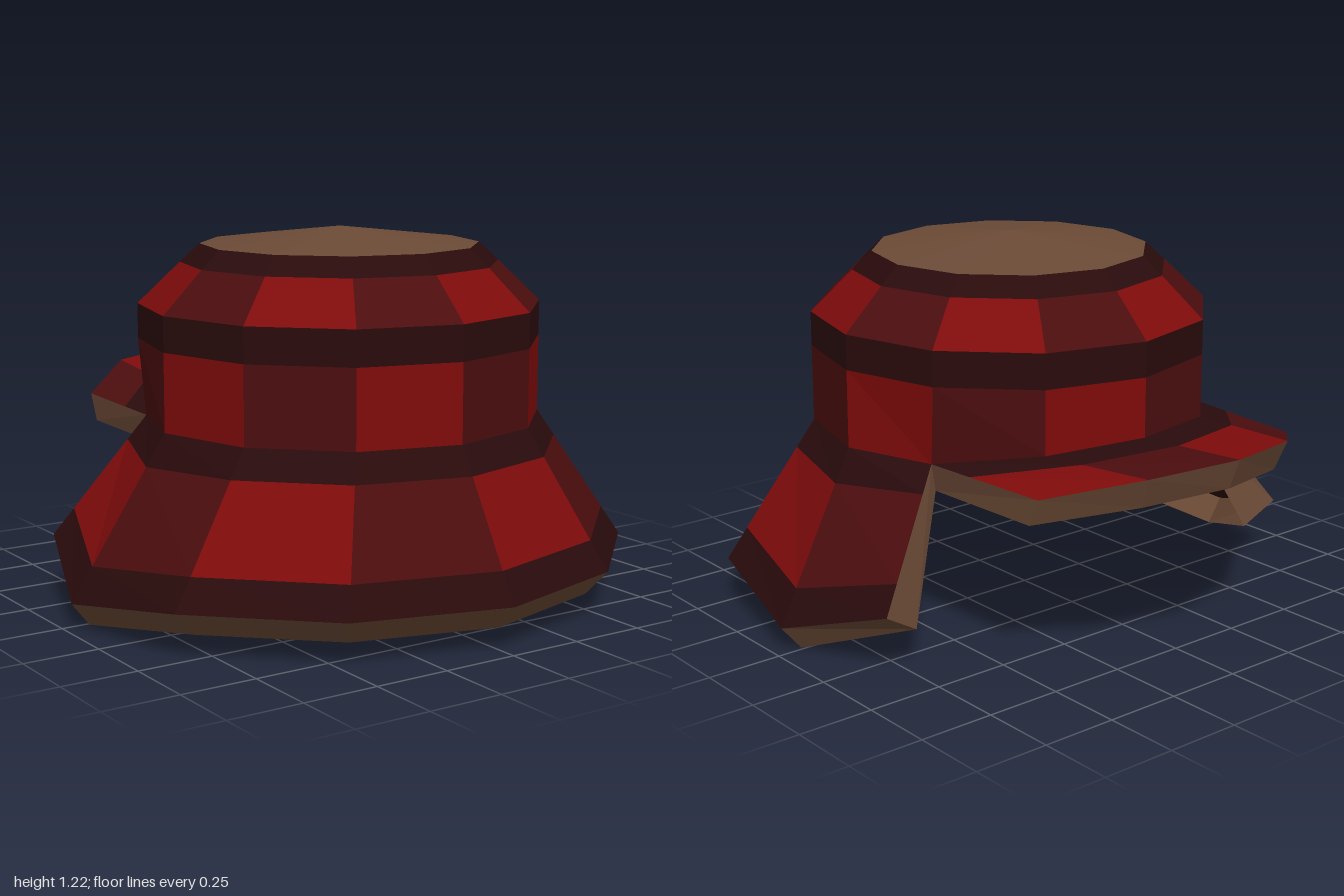
import * as THREE from 'three';

const material = (name, color) => {
  const m = new THREE.MeshStandardMaterial({ color });
  m.name = name;
  m.side = THREE.DoubleSide;
  m.flatShading = true;
  return m;
};

const SIDES = 12;
const CENTRE_Z = 0.075;

// Full ring of twelve corners from a rule for the half m = 0 (front) .. 6 (back)
const ring = (half) => Array.from({ length: SIDES }, (_, i) => {
  const [x, y, z] = half(Math.min(i, SIDES - i));
  return new THREE.Vector3(i <= 6 ? x : -x, y, z);
});
const onCircle = (m, r, y) => {
  const a = (m * Math.PI) / 6;
  return [r * Math.sin(a), y, CENTRE_Z + r * Math.cos(a)];
};
const round = (r, y) => ring((m) => onCircle(m, r, y));
const blend = (a, b, t) => a.map((p, i) => p.clone().lerp(b[i], t));

export function createModel() {
  const hat = new THREE.Group();
  hat.name = 'hat';
  const red = material('red', 0x7f0b0b);
  const maroon = material('maroon', 0x4c0d0e);
  const band = material('dark band', 0x2a0b0c);
  const brown = material('brown trim', 0x6b4a36);

  // Mesh from four-cornered faces, one geometry group per face
  function faces(name, list) {
    const mats = [...new Set(list.map((f) => f.mat))];
    const points = [];
    const geometry = new THREE.BufferGeometry();
    for (const { mat, quad: [a, b, c, d] } of list) {
      geometry.addGroup(points.length, 6, mats.indexOf(mat));
      points.push(a, b, c, a, c, d);
    }
    geometry.setFromPoints(points);
    geometry.computeVertexNormals();
    const mesh = new THREE.Mesh(geometry, mats);
    mesh.name = name;
    hat.add(mesh);
  }

  // Band of faces between two rings, following the surface from a to b
  function strip(name, a, b, paint, from = 0, to = SIDES) {
    const list = [];
    for (let k = from; k < to; k++) {
      const i = (k + SIDES) % SIDES, j = (i + 1) % SIDES;
      list.push({ mat: paint(i), quad: [a[i], b[i], b[j], a[j]] });
    }
    faces(name, list);
  }
  const evenRed = (i) => (i % 2 ? maroon : red);
  const oddRed = (i) => (i % 2 ? red : maroon);
  const dark = () => band;
  const trim = () => brown;

  // Crown: thin cloth shell; its seam is pinched where brim and flap part
  const seamY = [0.6, 0.6, 0.6, 0.6, 0.6, 0.645, 0.66];
  const seam = ring((m) => (m === 4 ? [0.565, 0.6, -0.23] : onCircle(m, 0.665, seamY[m])));
  const crown = [round(0, 1.22), round(0.46, 1.165), round(0.525, 1.105),
    round(0.665, 0.97), round(0.665, 0.855), seam];
  const crownPaint = [trim, dark, evenRed, dark, oddRed];
  ['crownTop', 'topBand', 'upperChecks', 'middleBand', 'lowerChecks']
    .forEach((n, k) => strip(n, crown[k], crown[k + 1], crownPaint[k]));

  // Front brim with its trim folded inward
  const brimOut = [[0, 0.15, 1], [0.5, 0.15, 0.86], [0.875, 0.15, 0.5],
    [0.975, 0.08, 0.02], [0.845, 0.205, -0.37]];
  const brimIn = [[0, 0.07, 0.93], [0.46, 0.07, 0.8], [0.8, 0.07, 0.48],
    [0.91, 0, 0.01], [0.72, 0.13, -0.35]];
  const brimEdge = ring((m) => brimOut[Math.min(m, 4)]);
  const brimInner = ring((m) => brimIn[Math.min(m, 4)]);
  const brimPaint = [dark, evenRed, dark];
  const stops = [0, 0.2, 0.78, 1];
  ['brimTopBand', 'brimChecks', 'brimEdgeBand'].forEach((n, k) => strip(n,
    blend(seam, brimEdge, stops[k]), blend(seam, brimEdge, stops[k + 1]), brimPaint[k], -4, 4));
  strip('brimRim', brimEdge, brimInner, trim, -4, 4);

  // Raised back flap; its underside reaches in to a shallow arc between the corners
  const flapOut = [[0.53, 0.6, -0.7], [0.295, 0.67, -0.92], [0, 0.69, -1]];
  const flapIn = [[0.53, 0.51, -0.66], [0.28, 0.57, -0.88], [0, 0.59, -0.96]];
  const flapArc = [[0.55, 0.51, -0.23], [0.29, 0.53, -0.26], [0, 0.54, -0.27]];
  const [flapEdge, flapInner, flapRoot] = [flapOut, flapIn, flapArc]
    .map((half) => ring((m) => half[Math.max(m - 4, 0)]));
  const flapMid = blend(seam, flapEdge, 0.37);
  strip('flapBand', seam, flapMid, dark, 4, 8);
  strip('flapChecks', flapMid, flapEdge, evenRed, 4, 8);
  strip('flapRim', flapEdge, flapInner, trim, 4, 8);
  strip('flapUnderside', flapInner, flapRoot, trim, 4, 8);

  // Cut ends where the brim and the flap part, both sides
  for (const [side, i] of [['left', 4], ['right', 8]]) {
    const brimEnd = [seam[i], brimEdge[i], brimInner[i], flapRoot[i]];
    const flapEnd = [flapRoot[i], flapInner[i], flapEdge[i], seam[i]];
    if (side === 'right') { brimEnd.reverse(); flapEnd.reverse(); }
    faces(side + 'BrimEnd', [{ mat: brown, quad: brimEnd }]);
    faces(side + 'FlapEnd', [{ mat: brown, quad: flapEnd }]);
  }
  return hat;
}
